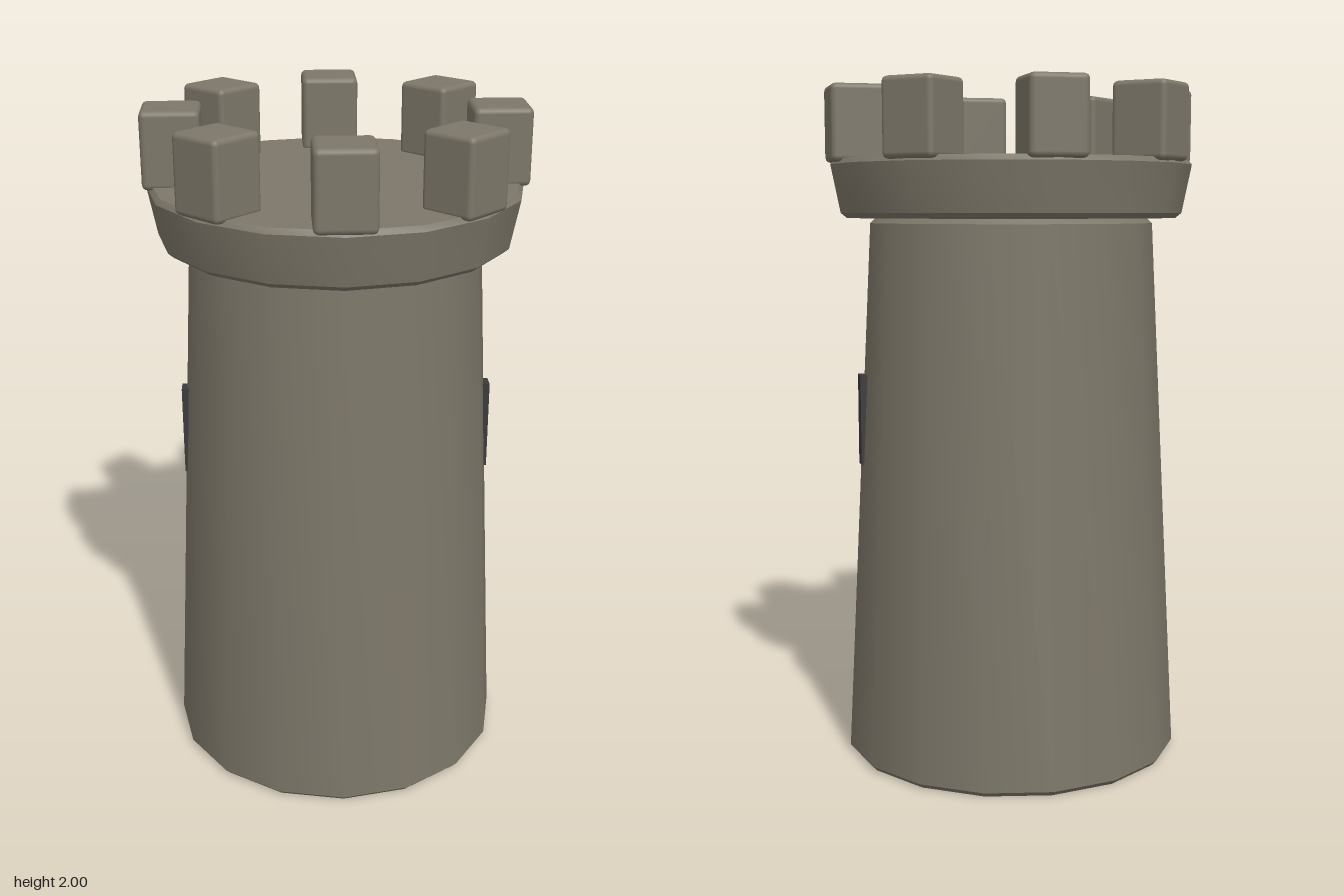
import * as THREE from 'three';
import { toCreasedNormals } from 'three/addons/utils/BufferGeometryUtils.js';
import { RoundedBoxGeometry } from 'three/addons/geometries/RoundedBoxGeometry.js';

const SIDES = 16;

// Tapered 16-sided drum with small chamfers on both rims
function drum(rBottom, rTop, y0, y1, bevel) {
  const slope = (rTop - rBottom) / (y1 - y0);
  const profile = [
    [0, y0],
    [rBottom - bevel, y0],
    [rBottom + slope * bevel, y0 + bevel],
    [rTop - slope * bevel, y1 - bevel],
    [rTop - bevel, y1],
    [0, y1],
  ].map(([r, y]) => new THREE.Vector2(r, y));
  return toCreasedNormals(new THREE.LatheGeometry(profile, SIDES), 0.5);
}

export function createModel() {
  const stone = new THREE.MeshStandardMaterial({ color: 0x7d7769 });
  stone.name = 'stone';
  const dark = new THREE.MeshStandardMaterial({ color: 0x3b3b3c });
  dark.name = 'darkOpening';

  const tower = new THREE.Group();
  tower.name = 'tower';
  const add = (name, geometry, material) => {
    const mesh = new THREE.Mesh(geometry, material);
    mesh.name = name;
    tower.add(mesh);
    return mesh;
  };

  // Tapered shaft and flared platform
  add('shaft', drum(0.507, 0.423, 0, 1.62, 0.015), stone);
  add('platform', drum(0.507, 0.541, 1.62, 1.79, 0.015), stone);

  // Ring of eight battlement blocks
  const block = new RoundedBoxGeometry(0.167, 0.22, 0.167, 2, 0.016);
  for (let i = 0; i < 8; i++) {
    const a = (i * Math.PI) / 4;
    const merlon = add('merlon', block, stone);
    merlon.position.set(Math.sin(a) * 0.46, 1.89, Math.cos(a) * 0.46);
    merlon.rotation.y = a;
  }

  // Arrow slits on the two flanks
  const slit = new THREE.BoxGeometry(0.05, 0.27, 0.05);
  for (const side of [-1, 1]) {
    add(side > 0 ? 'leftArrowSlit' : 'rightArrowSlit', slit, dark).position.set(side * 0.438, 1.025, 0);
  }

  return tower;
}
